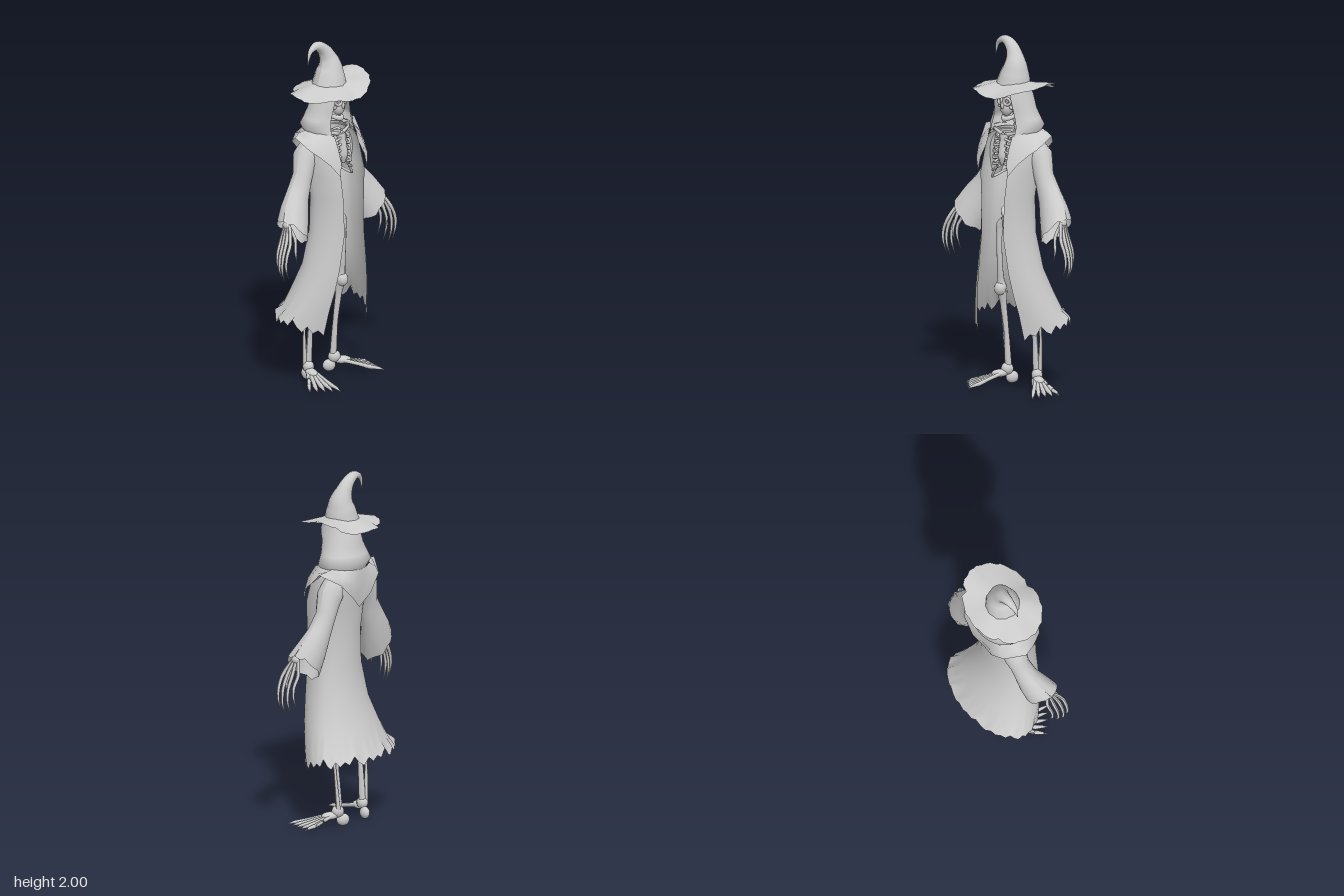
import * as THREE from 'three';

const V = (x, y, z) => new THREE.Vector3(x, y, z);
const grey = new THREE.MeshStandardMaterial({ color: 0xcccccc, side: THREE.DoubleSide });
grey.name = 'ashGrey';

function mesh(parent, name, geometry) {
  const m = new THREE.Mesh(geometry, grey);
  m.name = name;
  parent.add(m);
  return m;
}

function group(parent, name) {
  const g = new THREE.Group();
  g.name = name;
  parent.add(g);
  return g;
}

// Skin over rows of points
function grid(rows) {
  const n = rows[0].length, index = [];
  for (let r = 0; r < rows.length - 1; r++)
    for (let c = 0; c < n - 1; c++) {
      const a = r * n + c, b = a + n;
      index.push(a, b, a + 1, b, b + 1, a + 1);
    }
  const g = new THREE.BufferGeometry().setFromPoints(rows.flat());
  g.setIndex(index);
  g.computeVertexNormals();
  return g;
}

// Round sweep through [x, y, z, radius] points
function sweep(pts, sides = 7, steps = (pts.length - 1) * 4) {
  const curve = new THREE.CatmullRomCurve3(pts.map(p => V(p[0], p[1], p[2])));
  const rows = [];
  for (let i = 0; i <= steps; i++) {
    const t = i / steps, f = t * (pts.length - 1), k = Math.min(Math.floor(f), pts.length - 2);
    const r = THREE.MathUtils.lerp(pts[k][3], pts[k + 1][3], f - k);
    const p = curve.getPoint(t), T = curve.getTangent(t);
    const ref = Math.abs(T.z) > 0.9 ? V(1, 0, 0) : V(0, 0, 1);
    const u = ref.cross(T).normalize(), v = T.clone().cross(u);
    const row = [];
    for (let s = 0; s <= sides; s++) {
      const a = -s / sides * Math.PI * 2;
      row.push(p.clone().addScaledVector(u, r * Math.cos(a)).addScaledVector(v, r * Math.sin(a)));
    }
    rows.push(row);
  }
  return grid(rows);
}

function ball(parent, name, x, y, z, rx, ry, rz) {
  const m = mesh(parent, name, new THREE.SphereGeometry(1, 12, 9));
  m.position.set(x, y, z);
  m.scale.set(rx, ry, rz);
  return m;
}

// Cloth section open at the front: half gap, half width, front z, middle z, back z
function openSection([y, gap, w, front, mid, back], cols) {
  const a0 = Math.asin(gap / w), row = [];
  for (let c = 0; c <= cols; c++) {
    const a = a0 + (2 * Math.PI - 2 * a0) * c / cols, k = Math.cos(a);
    const z = k > 0 ? mid + (front - mid) * k / Math.cos(a0) : mid + k * (mid - back);
    row.push(V(w * Math.sin(a), y, z));
  }
  return row;
}

function addHat(parent) {
  const hat = group(parent, 'hat');
  const n = 48, rows = [];
  for (const t of [0, 0.33, 0.66, 1]) {
    const row = [];
    for (let i = 0; i <= n; i++) {
      const a = i / n * Math.PI * 2, c = Math.cos(a), s = -Math.sin(a);
      const torn = [5, 17, 36].includes(i) ? 0.86 : 1 + 0.025 * Math.sin(i * 2.3);
      const k = t === 1 ? torn : 1;
      const rx = 0.07 + 0.18 * t * k, rz = 0.07 + 0.13 * t * k;
      const edge = 1.69 + 0.08 * Math.max(0, c) ** 2 + 0.012 * Math.max(0, -c) + 0.008 * Math.sin(a * 5);
      row.push(V(rx * c, 1.755 + (edge - 1.755) * t, 0.025 + rz * s));
    }
    rows.push(row);
  }
  mesh(hat, 'hatBrim', grid(rows));
  mesh(hat, 'hatCone', sweep([[-0.005, 1.73, 0.022, 0.1], [0.002, 1.79, 0.02, 0.085], [0.005, 1.84, 0.018, 0.068],
    [-0.008, 1.895, 0.01, 0.047], [-0.035, 1.94, 0.004, 0.036], [-0.088, 1.972, 0, 0.025],
    [-0.14, 1.95, 0, 0.013], [-0.16, 1.88, 0, 0.002]], 12));
}

function addRobe(parent) {
  const robe = group(parent, 'robe');
  const cols = 44;
  const body = [
    [1.47, 0.085, 0.13, 0.13, 0, -0.1], [1.4, 0.085, 0.165, 0.16, 0, -0.095],
    [1.25, 0.1, 0.16, 0.19, 0.02, -0.075], [1.1, 0.085, 0.145, 0.198, 0.05, -0.07],
    [0.9, 0.08, 0.16, 0.2, 0.05, -0.065], [0.7, 0.11, 0.2, 0.19, 0.04, -0.1],
    [0.57, 0.135, 0.24, 0.175, 0.01, -0.155], [0.47, 0.155, 0.275, 0.155, -0.025, -0.195],
    [0.37, 0.175, 0.31, 0.13, -0.06, -0.235]].map(r => openSection(r, cols));
  // Ragged hem, longest at the front corners
  body.at(-1).forEach((p, i) => {
    const side = Math.abs(i / cols - 0.5) * 2;
    p.y += 0.02 - 0.075 * side ** 4 + [0, 0.025, 0.005, 0.05, 0.01, -0.01, 0.03][i % 7];
  });
  mesh(robe, 'robeBody', grid(body));
  mesh(robe, 'hood', grid([
    [1.75, 0.05, 0.085, 0.1, 0.02, -0.045], [1.68, 0.06, 0.105, 0.12, 0.02, -0.085],
    [1.6, 0.07, 0.125, 0.105, 0.01, -0.097], [1.55, 0.08, 0.148, 0.1, 0, -0.115],
    [1.51, 0.09, 0.167, 0.105, 0, -0.135], [1.45, 0.09, 0.135, 0.125, 0, -0.1]].map(r => openSection(r, 28))));

  // Collar with pointed shoulders, lapels and a V at the back
  const inner = [[0.085, 1.4, 0.16], [0.09, 1.47, 0.13], [0.125, 1.48, 0.08], [0.142, 1.485, 0.03],
    [0.145, 1.485, -0.03], [0.11, 1.48, -0.09], [0.06, 1.475, -0.11], [0, 1.47, -0.118]];
  const outer = [[0.11, 1.25, 0.2], [0.155, 1.32, 0.165], [0.19, 1.37, 0.11], [0.215, 1.4, 0.065],
    [0.25, 1.47, -0.015], [0.17, 1.41, -0.11], [0.08, 1.32, -0.125], [0, 1.25, -0.105]];
  const both = half => {
    const pts = half.map(p => V(...p));
    return pts.concat(pts.slice(0, -1).reverse().map(p => V(-p.x, p.y, p.z)));
  };
  const a = both(inner), b = both(outer);
  const mid = a.map((p, i) => p.clone().lerp(b[i], 0.5).add(V(0, 0.006, p.z > 0 ? 0.012 : -0.012)));
  mesh(robe, 'collar', grid([a, mid, b]));
}

// Sleeve, forearm and clawed hand on the +x side
function addArm(parent, name) {
  const arm = group(parent, name);
  const rings = [[0.1, 1.28, 0.14, 1.45, -0.085, 0.05], [0.13, 1.24, 0.212, 1.385, -0.09, 0.05],
    [0.15, 1.17, 0.237, 1.26, -0.072, 0.04], [0.18, 1.08, 0.3, 1.17, -0.07, 0.055],
    [0.21, 0.98, 0.36, 1.1, -0.07, 0.09], [0.25, 0.87, 0.405, 1.03, -0.06, 0.125]];
  mesh(arm, 'sleeve', grid(rings.map(([x0, y0, x1, y1, z0, z1], k) => {
    const row = [];
    for (let i = 0; i <= 18; i++) {
      const t = -i / 18 * Math.PI * 2, c = Math.cos(t), s = Math.sin(t);
      const rag = k === 5 ? 0.01 * Math.sin(i * 4) : 0;
      row.push(V((x0 + x1 + (x1 - x0) * c) / 2, (y0 + y1 + (y1 - y0) * c) / 2 + rag, (z0 + z1 + (z1 - z0) * s) / 2));
    }
    return row;
  })));
  mesh(arm, 'forearmBone', sweep([[0.2, 1.24, -0.015, 0.016], [0.29, 1.12, 0.01, 0.01], [0.375, 1.02, 0.035, 0.015]]));
  ball(arm, 'wrist', 0.385, 1.005, 0.04, 0.018, 0.022, 0.026);
  for (let i = 0; i < 4; i++) {
    const z = 0.1 - i * 0.029, d = [0.02, 0, 0.005, 0.035][i], x = [0.005, 0.005, -0.005, -0.02][i];
    mesh(arm, 'finger', sweep([[0.385, 1.005, 0.04 + (z - 0.05) * 0.4, 0.009], [0.42 + x, 0.92, z, 0.011],
      [0.452 + x, 0.84 + d * 0.5, z + 0.004, 0.0095], [0.457 + x, 0.765 + d, z + 0.002, 0.007], [0.435 + x, 0.7 + d, z, 0.001]], 6));
  }
  mesh(arm, 'thumb', sweep([[0.38, 1.0, 0.055, 0.009], [0.372, 0.93, 0.09, 0.01], [0.385, 0.86, 0.105, 0.008], [0.375, 0.8, 0.105, 0.001]], 6));
  return arm;
}

// Leg bones and splayed foot on the +x side
function addLeg(parent, name, turn) {
  const leg = group(parent, name);
  mesh(leg, 'thighBone', sweep([[0.068, 0.955, 0.03, 0.02], [0.095, 0.92, 0.03, 0.024], [0.1, 0.85, 0.035, 0.016],
    [0.105, 0.68, 0.025, 0.016], [0.113, 0.6, 0.01, 0.021], [0.115, 0.55, 0, 0.032]], 9));
  ball(leg, 'knee', 0.115, 0.55, 0.012, 0.034, 0.04, 0.036);
  mesh(leg, 'shinBone', sweep([[0.115, 0.53, -0.005, 0.03], [0.113, 0.46, -0.012, 0.019], [0.107, 0.3, -0.03, 0.015], [0.105, 0.09, -0.045, 0.02]], 9));
  mesh(leg, 'calfBone', sweep([[0.135, 0.51, -0.02, 0.013], [0.138, 0.3, -0.045, 0.008], [0.122, 0.09, -0.055, 0.014]]));
  const foot = group(leg, 'foot');
  foot.position.set(0.108, 0, -0.045);
  foot.rotation.y = turn;
  ball(foot, 'ankle', 0, 0.085, 0.005, 0.032, 0.035, 0.036);
  ball(foot, 'heel', 0, 0.035, -0.025, 0.026, 0.035, 0.038);
  ball(foot, 'instep', 0, 0.062, 0.05, 0.032, 0.022, 0.05);
  for (let i = 0; i < 5; i++) {
    const f = (i - 2) / 2, reach = 0.27 - 0.013 * i;
    mesh(foot, 'toe', sweep([[f * 0.018, 0.065, 0.04, 0.012], [f * 0.042, 0.042, reach * 0.5, 0.011],
      [f * 0.06, 0.026, reach * 0.72, 0.013], [f * 0.072, 0.02, reach * 0.88, 0.009], [f * 0.08, 0.01, reach, 0.002]], 6));
  }
  return leg;
}

function addTorso(parent) {
  const bones = group(parent, 'skeletonTorso');
  // Spine from pelvis to skull
  for (let i = 0; i < 17; i++) {
    const y = 1.0 + i * 0.035, r = 0.033 - i * 0.0007;
    const v = mesh(bones, 'vertebra', new THREE.CylinderGeometry(r, r * 0.8, 0.031, 9));
    v.position.set(0, y, 0.02 + 0.025 * Math.sin(i * 0.35));
  }
  mesh(bones, 'breastbone', sweep([[0, 1.46, 0.1, 0.03], [0, 1.42, 0.112, 0.022], [0, 1.34, 0.122, 0.026], [0, 1.29, 0.122, 0.008]]));
  for (const s of [1, -1]) {
    mesh(bones, 'collarBone', sweep([[s * 0.015, 1.46, 0.1, 0.012], [s * 0.07, 1.475, 0.09, 0.009], [s * 0.15, 1.46, 0.02, 0.012]]));
    for (let i = 0; i < 7; i++) {
      const y = 1.455 - i * 0.036, w = 0.075 + 0.028 * Math.sin((i + 1) * 0.42), low = Math.max(0, i - 4);
      mesh(bones, 'rib', sweep([[s * 0.02, y, 0.02, 0.008], [s * w, y - 0.01, 0.005, 0.008], [s * (w + 0.008), y - 0.025, 0.06, 0.008],
        [s * (0.065 + 0.004 * i), y - 0.03, 0.105, 0.008], [s * (0.018 + 0.016 * low), y - 0.015 + low * 0.018, 0.12, 0.007]], 6));
    }
    // Pelvis half
    const wing = ball(bones, 'hipWing', s * 0.05, 0.995, 0.025, 0.02, 0.042, 0.045);
    wing.rotation.z = -s * 0.5;
    const ring = mesh(bones, 'hipRing', new THREE.TorusGeometry(0.026, 0.011, 7, 14));
    ring.position.set(s * 0.035, 0.93, 0.05);
    ring.rotation.y = s * 0.4;
  }
  ball(bones, 'tailBone', 0, 0.985, 0.005, 0.034, 0.045, 0.022);
}

function addSkull(parent) {
  const skull = group(parent, 'skull');
  ball(skull, 'cranium', 0, 1.67, 0.04, 0.064, 0.075, 0.075);
  ball(skull, 'face', 0, 1.615, 0.085, 0.04, 0.05, 0.036);
  ball(skull, 'nose', 0, 1.63, 0.118, 0.01, 0.024, 0.013);
  mesh(skull, 'jaw', sweep([[-0.045, 1.61, 0.04, 0.009], [-0.036, 1.565, 0.06, 0.012], [0, 1.55, 0.105, 0.016],
    [0.036, 1.565, 0.06, 0.012], [0.045, 1.61, 0.04, 0.009]]));
  for (const s of [1, -1]) {
    const socket = mesh(skull, 'eyeSocket', new THREE.TorusGeometry(0.019, 0.008, 7, 14));
    socket.position.set(s * 0.026, 1.652, 0.11);
    socket.rotation.y = s * 0.35;
    ball(skull, 'cheekBone', s * 0.042, 1.618, 0.082, 0.012, 0.012, 0.024);
  }
}

export function createModel() {
  const model = new THREE.Group();
  model.name = 'robedSkeleton';
  addHat(model);
  addSkull(model);
  addRobe(model);
  addTorso(model);
  addArm(model, 'leftArm');
  addArm(model, 'rightArm').scale.x = -1;
  addLeg(model, 'leftLeg', 0.95);
  addLeg(model, 'rightLeg', 0.45).scale.x = -1;
  return model;
}
